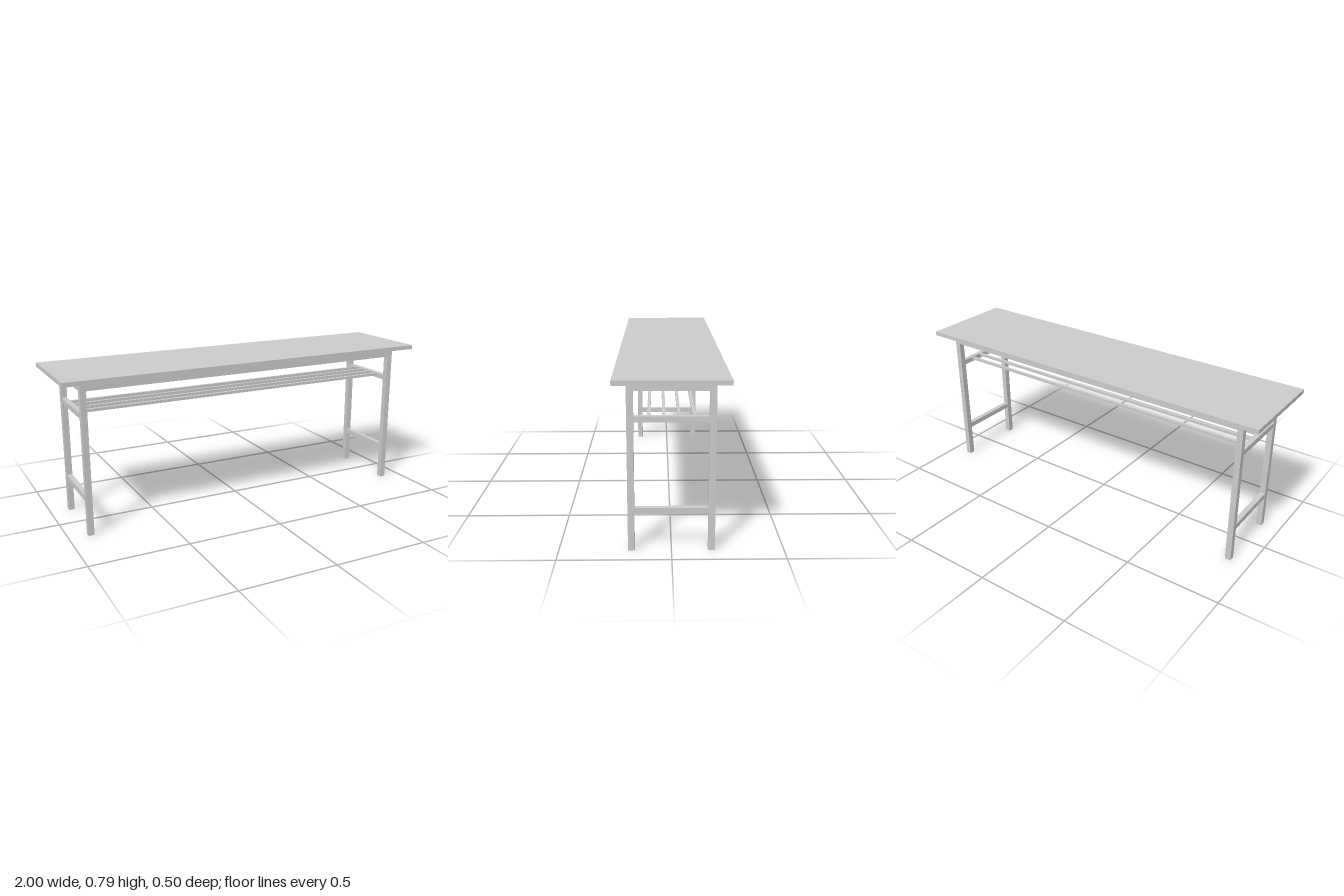
import * as THREE from 'three';

const material = new THREE.MeshStandardMaterial({ color: 0xcccccc, flatShading: true });

const LEG = 0.03;          // square leg thickness
const LEG_X = 0.89;        // leg centres
const LEG_Z = 0.178;
const INNER_X = LEG_X - LEG / 2;
const INNER_Z = LEG_Z - LEG / 2;
const TOP_UNDERSIDE = 0.768;

export function createModel() {
  const table = new THREE.Group();
  table.name = 'foldingTable';

  // Box given by its width, depth, bottom and top heights
  const addBox = (name, width, depth, bottom, top, x = 0, z = 0) => {
    const mesh = new THREE.Mesh(new THREE.BoxGeometry(width, top - bottom, depth), material);
    mesh.name = name;
    mesh.position.set(x, (bottom + top) / 2, z);
    table.add(mesh);
  };

  addBox('tableTop', 2, 0.5, TOP_UNDERSIDE, 0.79);

  // End frames: legs, apron and two stretchers
  for (const side of [-1, 1]) {
    const x = side * LEG_X;
    for (const end of [-1, 1]) addBox('leg', LEG, LEG, 0, TOP_UNDERSIDE, x, end * LEG_Z);
    addBox('endApron', LEG, 2 * INNER_Z, 0.725, TOP_UNDERSIDE, x);
    addBox('upperStretcher', 0.027, 2 * INNER_Z, 0.587, 0.614, x);
    addBox('lowerStretcher', 0.027, 2 * INNER_Z, 0.171, 0.199, x);
  }

  // Long aprons between the end frames
  for (const end of [-1, 1]) {
    addBox('longApron', 2 * INNER_X, LEG, 0.725, TOP_UNDERSIDE, 0, end * LEG_Z);
  }

  // Shelf of four slim bars resting between the upper stretchers
  const bars = 4;
  const gap = (2 * INNER_Z) / (bars + 1);
  for (let i = 1; i <= bars; i++) {
    addBox('shelfBar', 2 * INNER_X + 0.004, 0.014, 0.599, 0.613, 0, -INNER_Z + i * gap);
  }

  return table;
}
